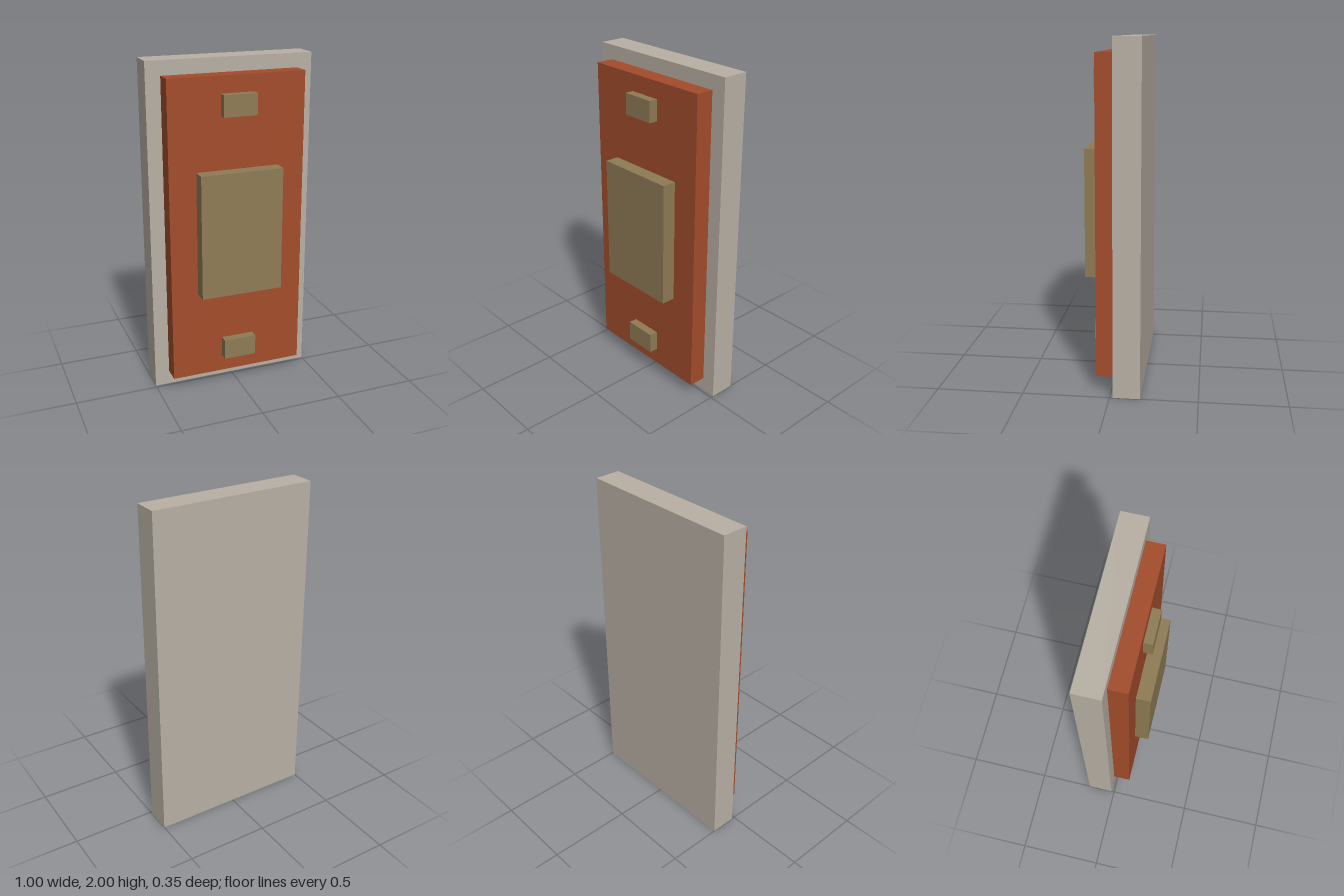
import * as THREE from 'three';

const material = (name, color) => {
  const m = new THREE.MeshStandardMaterial({ color });
  m.name = name;
  return m;
};

export function createModel() {
  const group = new THREE.Group();
  group.name = 'panelledDoor';
  const stone = material('warmGrey', 0xb9b1a5);
  const rust = material('rustRed', 0xa44d2b);
  const bronze = material('bronze', 0x8f7c55);

  // Box given by width, bottom and top, back and front
  const slab = (name, mat, width, y0, y1, z0, z1) => {
    const mesh = new THREE.Mesh(new THREE.BoxGeometry(width, y1 - y0, z1 - z0), mat);
    mesh.position.set(0, (y0 + y1) / 2, (z0 + z1) / 2);
    mesh.name = name;
    group.add(mesh);
  };

  // Backing slab and raised door leaf
  slab('backSlab', stone, 1, 0, 2, -0.173, -0.018);
  slab('doorLeaf', rust, 0.825, 0.088, 1.915, -0.018, 0.088);

  // Raised plates on the leaf
  slab('centrePanel', bronze, 0.5, 0.628, 1.377, 0.088, 0.172);
  slab('lowerPlate', bronze, 0.2, 0.19, 0.315, 0.088, 0.139);
  slab('upperPlate', bronze, 0.2, 1.69, 1.815, 0.088, 0.139);

  return group;
}
